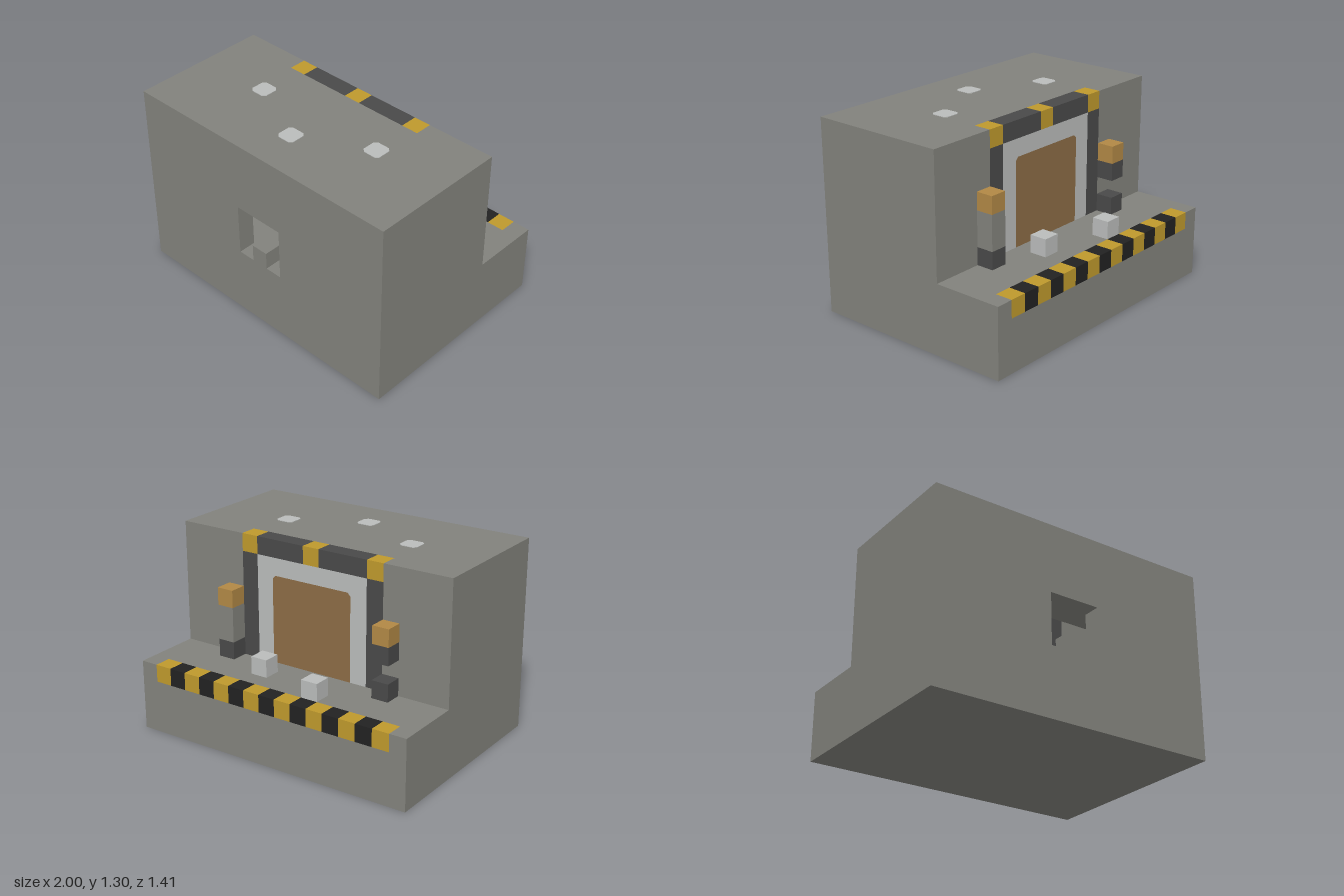
import * as THREE from 'three';

const U = 2 / 17; // one building block

const mat = (name, color) => {
  const m = new THREE.MeshStandardMaterial({ color });
  m.name = name;
  return m;
};

export function createModel() {
  const root = new THREE.Group();
  root.name = 'bunkerEntrance';

  const concrete = mat('concrete', 0x82827c);
  const yellow = mat('hazardYellow', 0xbe992c);
  const black = mat('hazardBlack', 0x222222);
  const dark = mat('darkMetal', 0x494949);
  const light = mat('lightMetal', 0xbabcbb);
  const orange = mat('lampOrange', 0xb18845);
  const brown = mat('doorBrown', 0x8c6c45);

  // Box given by its corner ranges in block units
  const box = (name, m, x0, x1, y0, y1, z0, z1) => {
    const g = new THREE.BoxGeometry((x1 - x0) * U, (y1 - y0) * U, (z1 - z0) * U);
    const mesh = new THREE.Mesh(g, m);
    mesh.position.set((x0 + x1) / 2 * U, (y0 + y1) / 2 * U, (z0 + z1) / 2 * U);
    mesh.name = name;
    root.add(mesh);
    return mesh;
  };
  const path = (pts, Type = THREE.Shape) =>
    new Type(pts.map(([x, y]) => new THREE.Vector2(x * U, y * U)));
  // Flat shape extruded along z from z0, in block units
  const slab = (name, m, shape, z0, depth) => {
    const g = new THREE.ExtrudeGeometry(shape, { depth: depth * U, bevelEnabled: false });
    const mesh = new THREE.Mesh(g, m);
    mesh.position.z = z0 * U;
    mesh.name = name;
    root.add(mesh);
    return mesh;
  };

  // Front wall with its stepped window opening
  const front = path([[-8.5, 0], [8.5, 0], [8.5, 11], [-8.5, 11]]);
  front.holes.push(path([
    [-1.5, 4], [-1.5, 7], [1.5, 7], [1.5, 4], [0.5, 4], [0.5, 5], [-0.5, 5], [-0.5, 4],
  ], THREE.Path));
  slab('frontWall', concrete, front, 5, 1);

  // L-shaped side walls, drawn in (-z, y) and turned to run along x
  const profile = path([[-5, 0], [6, 0], [6, 4], [2, 4], [2, 11], [-5, 11]]);
  for (const x of [-8.5, 7.5]) {
    const wall = slab('sideWall', concrete, profile, 0, 1);
    wall.rotation.y = Math.PI / 2;
    wall.position.x = x * U;
  }

  // Floor block, ledge under the hazard strip, roof and back wall
  box('floorBlock', concrete, -7.5, 7.5, 0, 4, -5, 5);
  box('ledge', concrete, -7.5, 7.5, 0, 3, -6, -5);
  box('roof', concrete, -7.5, 7.5, 10, 11, -1, 5);
  box('backWall', concrete, -7.5, -4.5, 4, 11, -2, -1);
  box('backWall', concrete, 4.5, 7.5, 4, 11, -2, -1);

  // Hazard strip along the platform edge
  for (let i = -7; i <= 7; i++) {
    box('hazardBlock', i % 2 ? yellow : black, i - 0.5, i + 0.5, 3, 4, -6, -5);
  }

  // Dark gate frame with yellow marker blocks
  for (const s of [-1, 1]) {
    box('gateColumn', dark, s * 4 - 0.5, s * 4 + 0.5, 4, 10, -2, -1);
    box('gateLintel', dark, s * 2 - 1.5, s * 2 + 1.5, 10, 11, -2, -1);
  }
  for (const x of [-4, 0, 4]) box('gateMarker', yellow, x - 0.5, x + 0.5, 10, 11, -2, -1);

  // Light inner frame and door with clipped corners
  const c = 0.18;
  const arch = [[-2.5, 4], [-2.5, 9 - c], [-2.5 + c, 9], [2.5 - c, 9], [2.5, 9 - c], [2.5, 4]];
  slab('innerFrame', light, path([...arch, [3.5, 4], [3.5, 10], [-3.5, 10], [-3.5, 4]]), -2, 1);
  slab('door', brown, path(arch), -2, 1);

  // Lamp posts; the right one has a missing section
  for (const s of [-1, 1]) {
    const x0 = s * 5 - 0.5, x1 = s * 5 + 0.5;
    box('postBase', dark, x0, x1, 4, 5, -3, -2);
    if (s > 0) box('postShaft', concrete, x0, x1, 5, 7, -3, -2);
    else box('postCollar', dark, x0, x1, 6, 7, -3, -2);
    box('postLamp', orange, x0, x1, 7, 8, -3, -2);
  }

  // Crates on the platform
  box('crate', light, -2.5, -1.5, 4, 5, -5, -4);
  box('crate', light, 1.5, 2.5, 4, 5, -4, -3);

  // Roof lights: thin plates with clipped corners
  const h = 0.53, k = 0.36;
  const plate = path([[-h, -k], [-k, -h], [k, -h], [h, -k], [h, k], [k, h], [-k, h], [-h, k]]);
  for (const [x, z] of [[-4, 1.5], [4, 1.5], [0, 3.5]]) {
    const lamp = slab('roofLight', light, plate, 0, 0.03);
    lamp.rotation.x = -Math.PI / 2;
    lamp.position.set(x * U, 11 * U, z * U);
  }

  // Room interior: dark floor covering, striped threshold and a crate
  box('floorCover', dark, -7.5, 7.5, 4, 4.04, -1, 2.8);
  for (let i = -3; i <= 3; i++) {
    box('thresholdStripe', i % 2 ? yellow : black, i - 0.5, i + 0.5, 4, 4.04, 2.8, 3.3);
  }
  box('roomCrate', light, -4, -3, 4, 5, 2, 3);

  return root;
}
